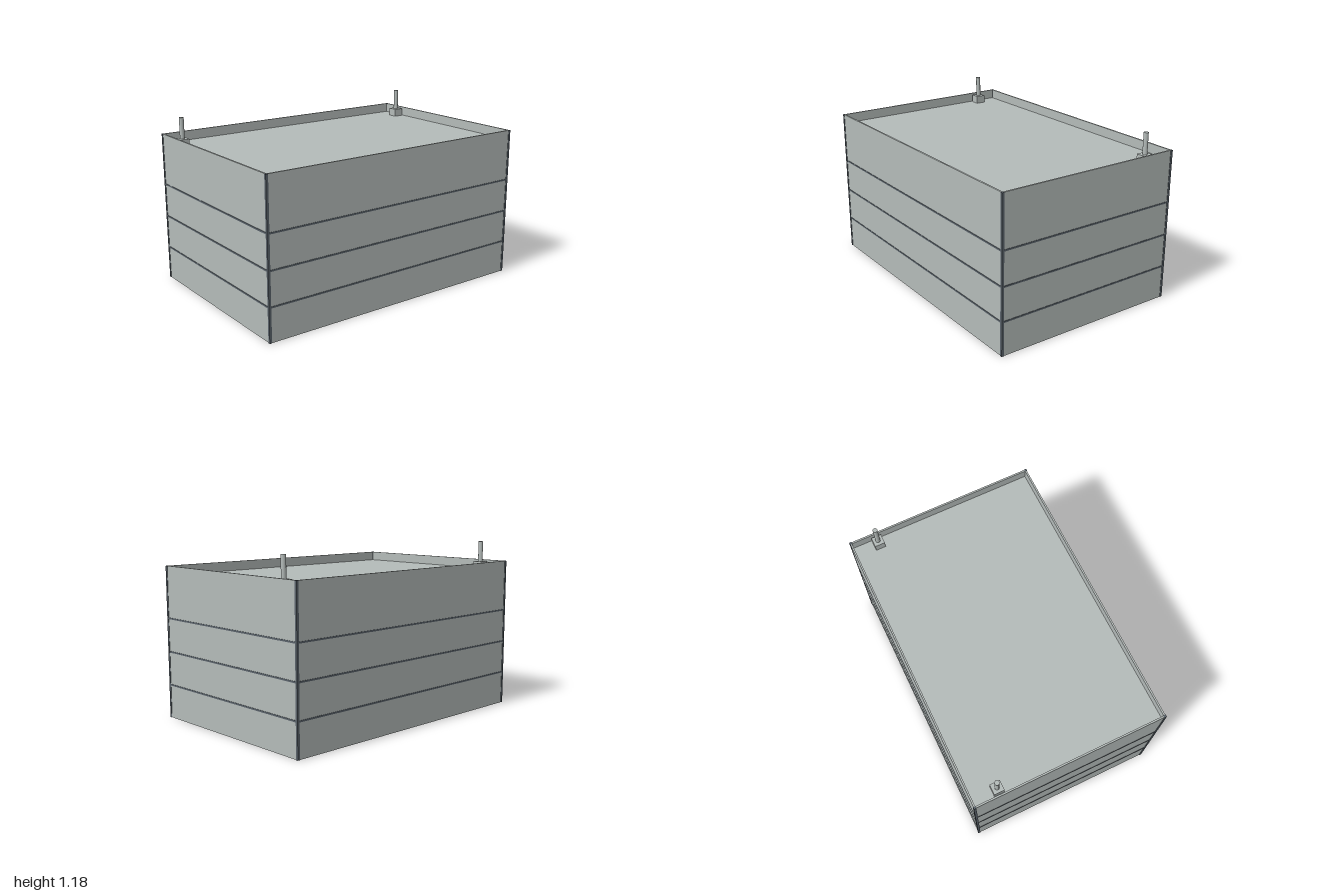
import * as THREE from 'three';

const HX = 1.0, HZ = 0.67;      // outer half sizes at the corner posts
const H = 1.045, ROOF = 0.98;   // wall top, roof surface
const POST = 0.016, WALL = 0.012, INSET = 0.003;

export function createModel() {
  const model = new THREE.Group();
  model.name = 'container';

  const panel = new THREE.MeshStandardMaterial({ color: 0xb4bbb9 });
  panel.name = 'paleGrey';
  const trim = new THREE.MeshStandardMaterial({ color: 0x59626a });
  trim.name = 'darkSlate';

  const add = (name, geometry, material, x, y, z) => {
    const mesh = new THREE.Mesh(geometry, material);
    mesh.name = name;
    mesh.position.set(x, y, z);
    model.add(mesh);
  };
  const box = (name, w, h, d, material, x, y, z) =>
    add(name, new THREE.BoxGeometry(w, h, d), material, x, y, z);

  const spanX = 2 * (HX - POST), spanZ = 2 * (HZ - POST);

  for (const s of [-1, 1]) {
    // Thin walls, open underneath
    const wx = s * (HX - INSET - WALL / 2), wz = s * (HZ - INSET - WALL / 2);
    box(s > 0 ? 'frontWall' : 'backWall', spanX, H, WALL, panel, 0, H / 2, wz);
    box(s > 0 ? 'leftWall' : 'rightWall', WALL, H, spanZ, panel, wx, H / 2, 0);

    // Dark horizontal seams on the outside of each wall
    for (const y of [0.23, 0.46, 0.69]) {
      box('longSeam', spanX, 0.011, 0.003, trim, 0, y, s * (HZ - 0.002));
      box('shortSeam', 0.003, 0.011, spanZ, trim, s * (HX - 0.002), y, 0);
    }

    // Corner posts
    for (const t of [-1, 1]) {
      box('cornerPost', POST, H, POST, trim, s * (HX - POST / 2), H / 2, t * (HZ - POST / 2));
    }

    // Roof terminals: square block with a round pin
    box('terminalBlock', 0.07, 0.055, 0.07, panel, s * 0.937, ROOF + 0.0275, -0.485);
    add('terminalPin', new THREE.CylinderGeometry(0.016, 0.016, 0.145, 20), panel,
      s * 0.937, 1.1075, -0.485);
  }

  // Roof plate recessed below the rim
  box('roof', spanX, 0.012, spanZ, panel, 0, ROOF - 0.006, 0);

  return model;
}
